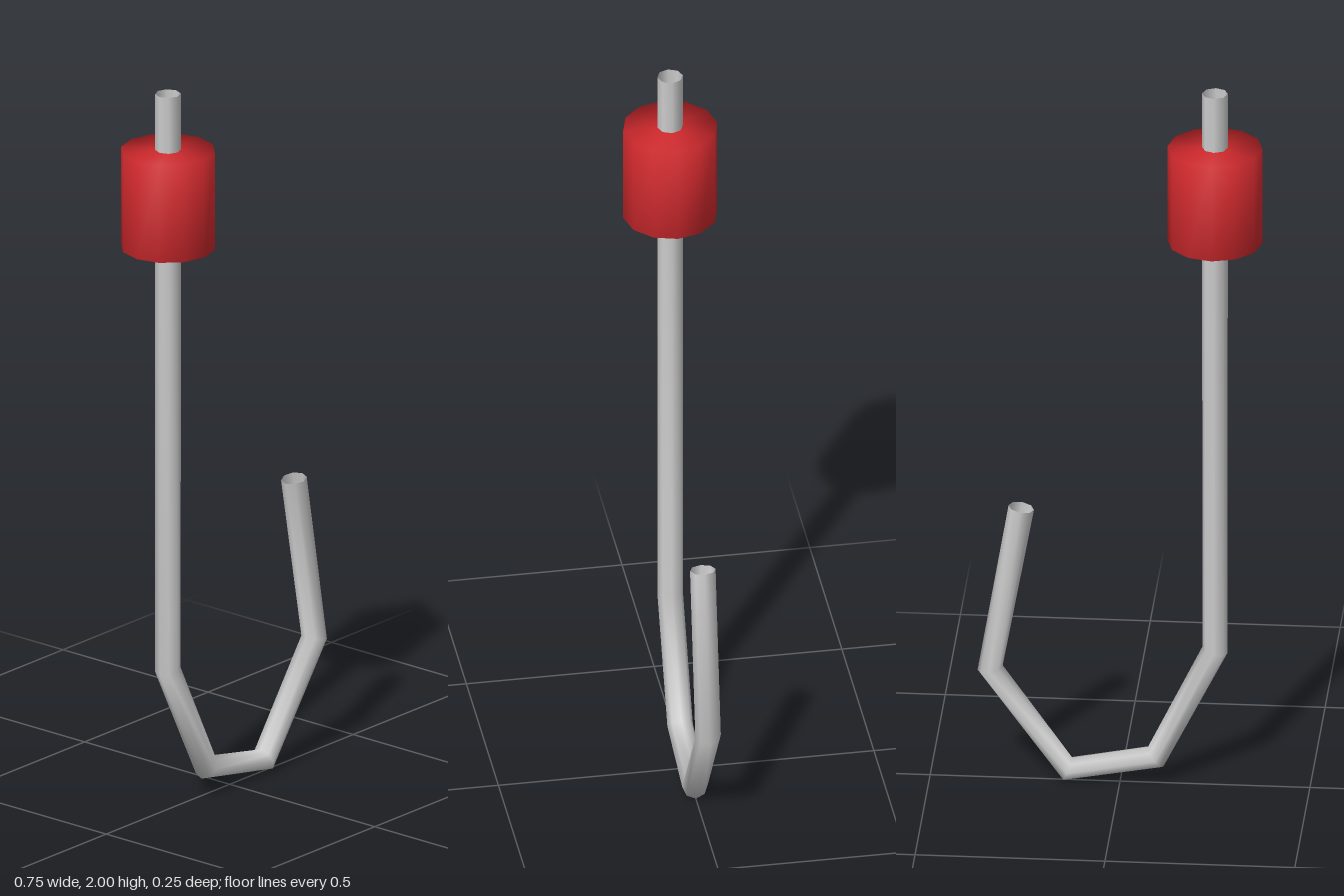
import * as THREE from 'three';
import { mergeVertices } from 'three/addons/utils/BufferGeometryUtils.js';

// Open tube along a polyline in the XY plane, one ring per corner
function bentTube(points, radius, sides) {
  const pos = [], index = [];
  const dir = (a, b) => b.clone().sub(a).normalize();
  points.forEach((p, i) => {
    const t = new THREE.Vector2();
    if (i > 0) t.add(dir(points[i - 1], p));
    if (i < points.length - 1) t.add(dir(p, points[i + 1]));
    t.normalize();
    for (let j = 0; j < sides; j++) {
      const a = (j / sides) * Math.PI * 2;
      const c = Math.cos(a) * radius;
      pos.push(p.x - t.y * c, p.y + t.x * c, Math.sin(a) * radius);
      if (i === 0) continue;
      const k = (j + 1) % sides, r0 = (i - 1) * sides, r1 = i * sides;
      index.push(r0 + j, r0 + k, r1 + j, r0 + k, r1 + k, r1 + j);
    }
  });
  const g = new THREE.BufferGeometry();
  g.setAttribute('position', new THREE.Float32BufferAttribute(pos, 3));
  g.setIndex(index);
  g.computeVertexNormals();
  return g;
}

export function createModel() {
  const group = new THREE.Group();
  group.name = 'hook';

  // Straight shank bending into the angular hook, open at both ends
  const path = [[-0.25, 2], [-0.25, 0.39], [-0.094, 0.075], [0.138, 0.032], [0.342, 0.317], [0.26, 0.783]]
    .map(([x, y]) => new THREE.Vector2(x, y));
  const rod = new THREE.Mesh(
    bentTube(path, 0.034, 8),
    new THREE.MeshStandardMaterial({ color: 0xcccccc, side: THREE.DoubleSide })
  );
  rod.name = 'hookRod';
  group.add(rod);

  // Red collar, shaded smoothly across its rims
  let collarGeo = new THREE.CylinderGeometry(0.125, 0.125, 0.272, 12);
  collarGeo.deleteAttribute('normal');
  collarGeo.deleteAttribute('uv');
  collarGeo = mergeVertices(collarGeo);
  collarGeo.computeVertexNormals();
  const collar = new THREE.Mesh(collarGeo, new THREE.MeshStandardMaterial({ color: 0xd42a2e }));
  collar.name = 'collar';
  collar.position.set(-0.25, 1.708, 0);
  group.add(collar);

  return group;
}
